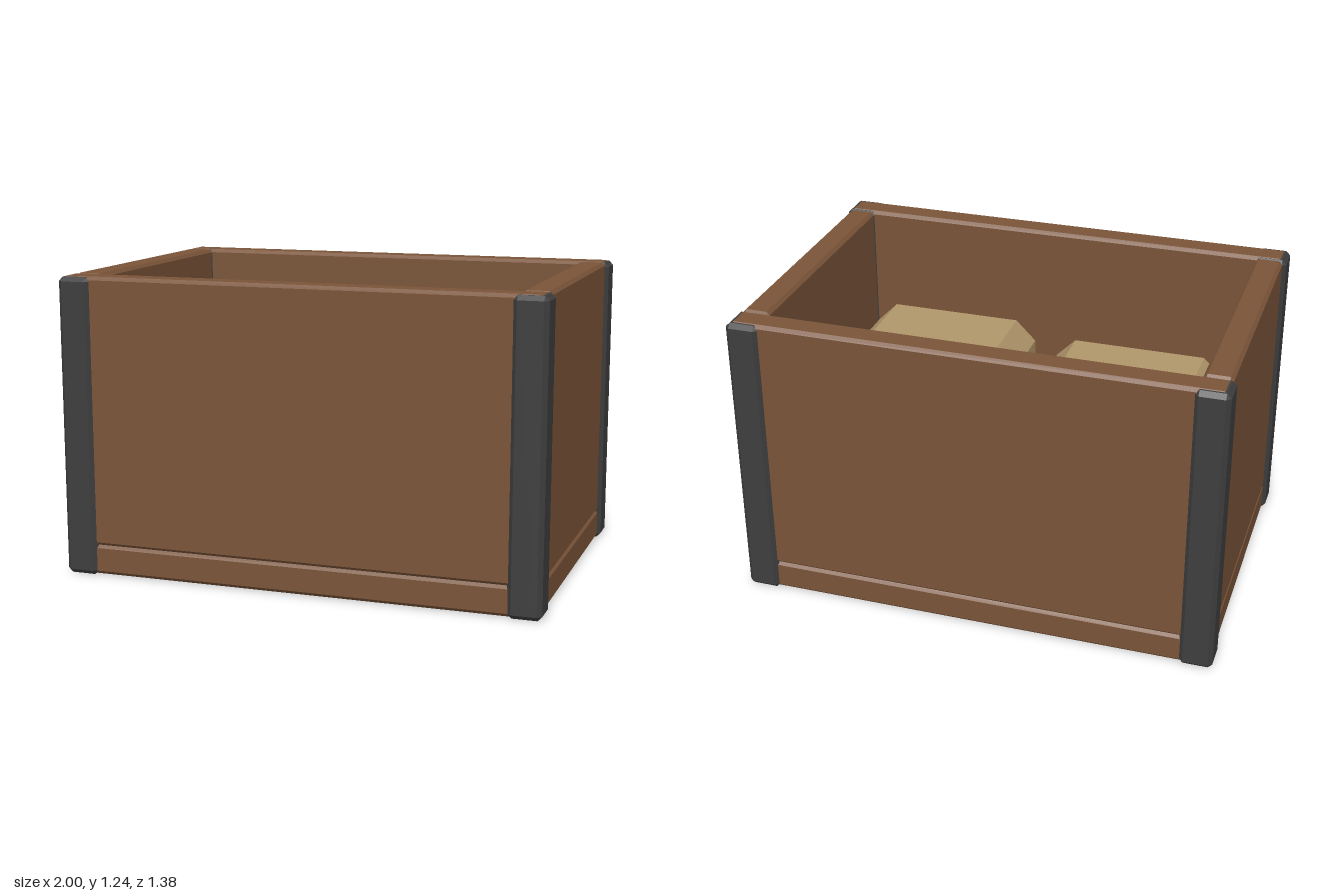
import * as THREE from 'three';
import { ConvexGeometry } from 'three/addons/geometries/ConvexGeometry.js';

const material = (name, color) => {
  const m = new THREE.MeshStandardMaterial({ color });
  m.name = name;
  return m;
};

// Box with every edge chamfered by c, given by its min and max corners
function chamferBox(min, max, c) {
  const mid = min.map((v, i) => (v + max[i]) / 2);
  const half = min.map((v, i) => (max[i] - v) / 2);
  const points = [];
  for (const sx of [-1, 1]) for (const sy of [-1, 1]) for (const sz of [-1, 1]) {
    for (let face = 0; face < 3; face++) {
      const p = half.map((h, i) => (i === face ? h : h - c));
      points.push(new THREE.Vector3(sx * p[0], sy * p[1], sz * p[2]));
    }
  }
  return new ConvexGeometry(points).translate(...mid);
}

export function createModel() {
  const group = new THREE.Group();
  group.name = 'storageCrate';
  const wood = material('brownWood', 0x7a5438);
  const metal = material('darkMetal', 0x3e3e3e);
  const cargo = material('tanCargo', 0xb0966a);

  const add = (name, mat, min, max, c) => {
    const mesh = new THREE.Mesh(chamferBox(min, max, c), mat);
    mesh.name = name;
    group.add(mesh);
  };

  // Floor slab
  add('floor', wood, [-0.985, 0.003, -0.675], [0.985, 0.128, 0.675], 0.014);

  // Long walls run the full width
  add('frontWall', wood, [-0.985, 0.124, 0.56], [0.985, 1.235, 0.675], 0.014);
  add('backWall', wood, [-0.985, 0.124, -0.675], [0.985, 1.235, -0.56], 0.014);

  // End walls fit between them
  add('leftWall', wood, [0.87, 0.124, -0.56], [0.985, 1.235, 0.56], 0.014);
  add('rightWall', wood, [-0.985, 0.124, -0.56], [-0.87, 1.235, 0.56], 0.014);

  // Corner posts, standing slightly proud of the walls
  for (const sx of [-1, 1]) for (const sz of [-1, 1]) {
    const x = [0.863 * sx, sx].sort((a, b) => a - b);
    const z = [0.55 * sz, 0.69 * sz].sort((a, b) => a - b);
    const name = (sz > 0 ? 'front' : 'back') + (sx > 0 ? 'Left' : 'Right') + 'Post';
    add(name, metal, [x[0], 0, z[0]], [x[1], 1.232, z[1]], 0.018);
  }

  // Two bundles of cargo inside, one a little taller
  add('rightCargo', cargo, [-0.79, 0.12, -0.47], [-0.05, 0.82, 0.46], 0.083);
  add('leftCargo', cargo, [0.05, 0.12, -0.47], [0.79, 0.88, 0.46], 0.087);

  return group;
}
